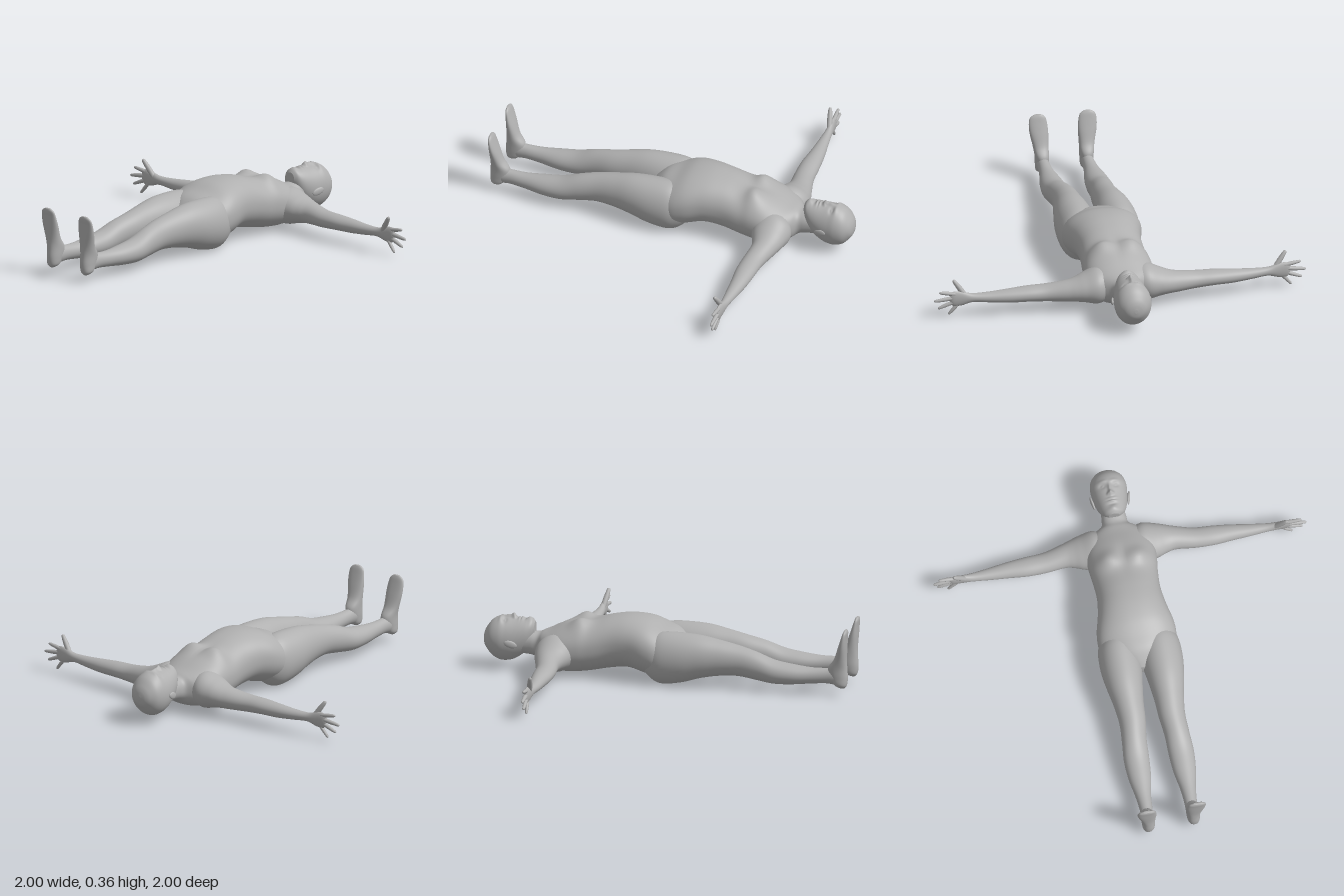
import * as THREE from 'three';

// Catmull-Rom blend of two neighbouring cross-sections
function blend(a, b, c, d, t) {
  return b.map((_, k) => 0.5 * (2 * b[k] + (c[k] - a[k]) * t + (2 * a[k] - 5 * b[k] + 4 * c[k] - d[k]) * t * t
    + (3 * b[k] - a[k] - 3 * c[k] + d[k]) * t * t * t));
}

// Smooth skin over sections [t, u0, u1, v0, v1] along an axis (u, v are the next two axes in x-y-z order)
function loft(axis, sections, { segs = 40, sub = 6, power = 1, shape = null } = {}) {
  const rings = [];
  const last = sections.length - 1;
  for (let i = 0; i < last; i++) {
    for (let s = 0; s < sub; s++) {
      rings.push(blend(sections[Math.max(i - 1, 0)], sections[i], sections[i + 1], sections[Math.min(i + 2, last)], s / sub));
    }
  }
  rings.push(sections[last]);
  const pos = [], index = [];
  const put = (t, u, v, front) => {
    const p = new THREE.Vector3();
    p.setComponent(axis, t).setComponent((axis + 1) % 3, u).setComponent((axis + 2) % 3, v);
    if (shape) shape(p, front);
    pos.push(p.x, p.y, p.z);
  };
  const bend = (n) => Math.sign(n) * Math.abs(n) ** power;
  for (const [t, u0, u1, v0, v1] of rings) {
    for (let j = 0; j < segs; j++) {
      const a = (j / segs) * Math.PI * 2;
      put(t, (u0 + u1) / 2 + (u1 - u0) / 2 * bend(Math.cos(a)), (v0 + v1) / 2 + (v1 - v0) / 2 * bend(Math.sin(a)), Math.max(0, Math.sin(a)));
    }
  }
  const n = rings.length;
  for (let i = 0; i < n - 1; i++) {
    for (let j = 0; j < segs; j++) {
      const a = i * segs + j, b = i * segs + (j + 1) % segs;
      index.push(a, b, b + segs, a, b + segs, a + segs);
    }
  }
  // end caps
  for (const [r, end] of [[0, 0], [n - 1, 1]]) {
    const [t, u0, u1, v0, v1] = rings[r], c = pos.length / 3;
    put(t, (u0 + u1) / 2, (v0 + v1) / 2, 0);
    for (let j = 0; j < segs; j++) {
      const a = r * segs + j, b = r * segs + (j + 1) % segs;
      if (end) index.push(c, a, b); else index.push(c, b, a);
    }
  }
  const g = new THREE.BufferGeometry();
  g.setAttribute('position', new THREE.Float32BufferAttribute(pos, 3));
  g.setIndex(index);
  g.computeVertexNormals();
  return g;
}

// Copy reflected in x, with the corner order turned round
function mirrored(geometry) {
  const g = geometry.clone().scale(-1, 1, 1);
  const idx = g.index.array;
  for (let i = 0; i < idx.length; i += 3) [idx[i], idx[i + 1]] = [idx[i + 1], idx[i]];
  g.computeVertexNormals();
  return g;
}

// Tapered finger with a round tip, from a to b
function finger(a, b, r) {
  const from = new THREE.Vector3(...a), dir = new THREE.Vector3(...b).sub(from), len = dir.length();
  const profile = [[r, 0], [r * 1.02, len * 0.45], [r * 0.85, len * 0.75], [r * 0.7, len * 0.92], [r * 0.4, len * 0.985], [0, len]];
  const g = new THREE.LatheGeometry(profile.map(([x, y]) => new THREE.Vector2(x, y)), 14);
  g.applyQuaternion(new THREE.Quaternion().setFromUnitVectors(new THREE.Vector3(0, 1, 0), dir.normalize()));
  return g.translate(from.x, from.y, from.z);
}

// Soft swellings [x, z, width, length, height] on the front, repeated on both sides
const swell = (bumps) => (p, front) => {
  const w = Math.min(1, front * 1.6);
  for (const [x, z, sx, sz, h] of bumps) {
    p.y += w * h * Math.exp(-(((Math.abs(p.x) - x) / sx) ** 2) - ((p.z - z) / sz) ** 2);
  }
};
const centred = (rows) => rows.map(([z, w, y0, y1]) => [z, -w, w, y0, y1]);

export function createModel() {
  const model = new THREE.Group();
  model.name = 'lyingFigure';
  const skin = new THREE.MeshStandardMaterial({ color: 0xb0b0b0 });
  skin.name = 'grey skin';
  const add = (name, geometry) => {
    const mesh = new THREE.Mesh(geometry, skin);
    mesh.name = name;
    model.add(mesh);
  };
  const addPair = (name, geometry) => {
    add('left' + name, geometry);
    add('right' + name, mirrored(geometry));
  };

  // Neck and torso, from the throat down to the crotch
  add('torso', loft(2, centred([
    [-0.8, 0.062, 0.09, 0.21], [-0.74, 0.066, 0.085, 0.212], [-0.7, 0.075, 0.072, 0.21],
    [-0.67, 0.12, 0.055, 0.222], [-0.63, 0.165, 0.035, 0.238], [-0.55, 0.185, 0.017, 0.276],
    [-0.47, 0.183, 0.02, 0.3], [-0.4, 0.175, 0.03, 0.303], [-0.3, 0.17, 0.05, 0.328],
    [-0.2, 0.183, 0.06, 0.34], [-0.1, 0.207, 0.035, 0.33], [-0.02, 0.205, 0.02, 0.3],
    [0.05, 0.16, 0.035, 0.275], [0.1, 0.08, 0.08, 0.235], [0.13, 0.03, 0.13, 0.2],
  ]), { segs: 72, power: 0.9, shape: swell([[0.085, -0.465, 0.055, 0.05, 0.025], [0, -0.47, 0.025, 0.07, -0.008]]) }));

  // Head with brow, eyes, nose, lips and chin shaped into the face
  add('head', loft(2, centred([
    [-1, 0.008, 0.152, 0.172], [-0.994, 0.038, 0.125, 0.2], [-0.98, 0.062, 0.102, 0.228],
    [-0.95, 0.087, 0.067, 0.264], [-0.91, 0.097, 0.047, 0.284], [-0.87, 0.095, 0.046, 0.281],
    [-0.83, 0.089, 0.058, 0.279], [-0.79, 0.079, 0.085, 0.28], [-0.76, 0.067, 0.12, 0.28],
    [-0.738, 0.05, 0.165, 0.278], [-0.724, 0.028, 0.2, 0.262],
  ]), { segs: 120, sub: 10, shape: swell([
    [0.032, -0.905, 0.024, 0.01, 0.005], [0.036, -0.883, 0.017, 0.012, -0.011], [0.036, -0.882, 0.009, 0.006, 0.007],
    [0, -0.865, 0.009, 0.024, 0.013], [0, -0.837, 0.011, 0.013, 0.022], [0.014, -0.834, 0.006, 0.007, 0.008],
    [0, -0.808, 0.022, 0.005, 0.007], [0, -0.8, 0.026, 0.003, -0.004], [0, -0.792, 0.019, 0.005, 0.007],
    [0, -0.776, 0.025, 0.008, -0.005], [0, -0.752, 0.022, 0.013, 0.007],
  ]) }));

  // Ears
  const ear = new THREE.SphereGeometry(1, 20, 14).scale(0.008, 0.019, 0.036);
  ear.rotateX(0.3).rotateY(-0.22).translate(0.097, 0.155, -0.837);
  addPair('Ear', ear);

  // Legs, from inside the hips to the ankles
  addPair('Leg', loft(2, [
    [-0.12, 0.05, 0.17, 0.08, 0.25], [-0.06, 0.012, 0.2, 0.022, 0.268], [0, 0.002, 0.218, 0.004, 0.284],
    [0.1, 0.002, 0.22, 0.018, 0.285], [0.2, 0.015, 0.207, 0.047, 0.278], [0.3, 0.028, 0.188, 0.065, 0.258],
    [0.4, 0.035, 0.176, 0.07, 0.235], [0.5, 0.048, 0.18, 0.058, 0.208], [0.6, 0.052, 0.187, 0.045, 0.172],
    [0.7, 0.06, 0.18, 0.048, 0.155], [0.8, 0.078, 0.162, 0.058, 0.145], [0.88, 0.085, 0.153, 0.064, 0.146],
    [0.94, 0.087, 0.152, 0.06, 0.15], [0.97, 0.1, 0.14, 0.08, 0.13],
  ], { segs: 48 }));

  // Feet, heel to toes, pointing up
  addPair('Foot', loft(1, [
    [0.043, 0.955, 0.98, 0.112, 0.132], [0.06, 0.925, 0.993, 0.092, 0.151], [0.1, 0.9, 0.998, 0.085, 0.155],
    [0.15, 0.892, 0.995, 0.083, 0.158], [0.2, 0.925, 0.993, 0.082, 0.166], [0.27, 0.95, 0.996, 0.08, 0.18],
    [0.32, 0.967, 0.998, 0.085, 0.182], [0.35, 0.977, 1, 0.094, 0.174], [0.365, 0.984, 0.997, 0.115, 0.152],
  ], { power: 0.9 }));

  // Arms, from inside the shoulders to the palms
  addPair('Arm', loft(0, [
    [0.06, 0.06, 0.215, -0.66, -0.5], [0.13, 0.036, 0.232, -0.69, -0.478], [0.2, 0.05, 0.205, -0.68, -0.495],
    [0.25, 0.058, 0.185, -0.667, -0.515], [0.3, 0.06, 0.172, -0.652, -0.525], [0.4, 0.063, 0.155, -0.627, -0.517],
    [0.5, 0.068, 0.15, -0.62, -0.515], [0.6, 0.07, 0.143, -0.61, -0.524], [0.7, 0.078, 0.135, -0.595, -0.531],
    [0.79, 0.086, 0.134, -0.582, -0.538], [0.85, 0.071, 0.15, -0.576, -0.543], [0.895, 0.07, 0.153, -0.572, -0.546],
    [0.913, 0.09, 0.138, -0.566, -0.552],
  ], { segs: 48 }));

  // Fingers and thumbs, spread
  const fingers = {
    Thumb: [[0.832, 0.125, -0.556], [0.894, 0.212, -0.538], 0.014],
    IndexFinger: [[0.882, 0.138, -0.56], [0.972, 0.152, -0.556], 0.0105],
    MiddleFinger: [[0.89, 0.118, -0.56], [1, 0.104, -0.556], 0.011],
    RingFinger: [[0.885, 0.098, -0.559], [0.978, 0.06, -0.555], 0.0105],
    LittleFinger: [[0.868, 0.084, -0.558], [0.922, 0.02, -0.552], 0.0095],
  };
  for (const [name, [a, b, r]] of Object.entries(fingers)) addPair(name, finger(a, b, r));

  return model;
}
